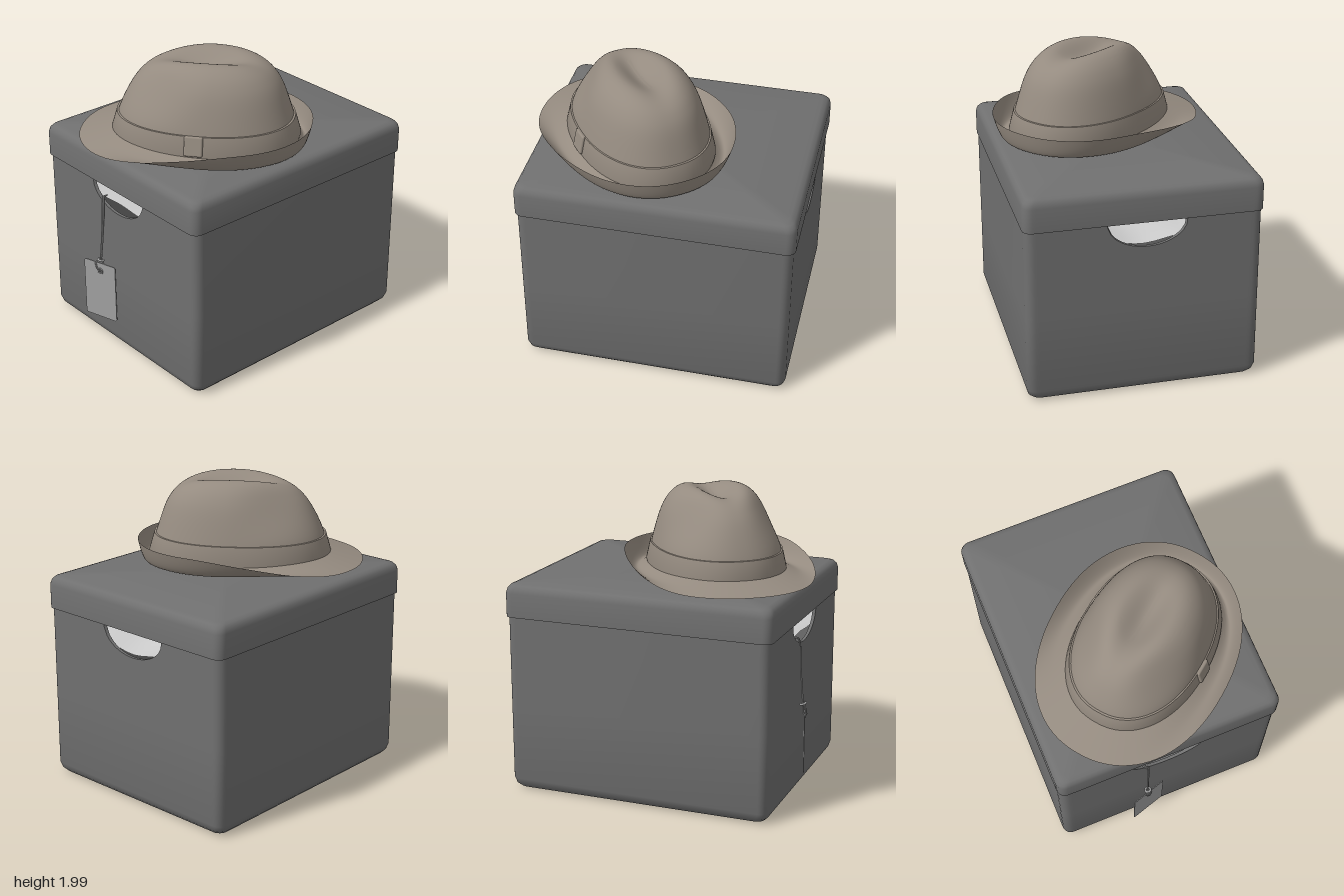
import * as THREE from 'three';
import { toCreasedNormals } from 'three/addons/utils/BufferGeometryUtils.js';
import { RoundedBoxGeometry } from 'three/addons/geometries/RoundedBoxGeometry.js';

const mat = (color) => new THREE.MeshStandardMaterial({ color, side: THREE.DoubleSide });
const boxMat = mat(0x707070);
const hatMat = mat(0x958b80);
const tagMat = mat(0xa0a0a0);
const paperMat = mat(0xdddddd);

function addMesh(parent, name, geometry, material) {
  const m = new THREE.Mesh(geometry, material);
  m.name = name;
  parent.add(m);
  return m;
}

// Skin over closed rings of [x, y, z] points
function skin(rings, crease = 0.7) {
  const n = rings[0].length;
  const index = [];
  for (let i = 0; i < rings.length - 1; i++) {
    for (let j = 0; j < n; j++) {
      const k = (j + 1) % n;
      const a = i * n + j, b = a + n, c = i * n + k, d = c + n;
      index.push(a, b, c, b, d, c);
    }
  }
  const g = new THREE.BufferGeometry();
  g.setAttribute('position', new THREE.Float32BufferAttribute(rings.flat(2), 3));
  g.setIndex(index);
  return toCreasedNormals(g, crease);
}

// Rounded rectangle in plan, running from +x towards +z
function plan(hx, hz, r) {
  const pts = [];
  const corners = [[1, 1], [-1, 1], [-1, -1], [1, -1]];
  corners.forEach(([sx, sz], q) => {
    for (let i = 0; i <= 6; i++) {
      const t = (q + i / 6) * Math.PI / 2;
      pts.push([sx * (hx - r) + r * Math.cos(t), sz * (hz - r) + r * Math.sin(t)]);
    }
    if (q % 2 === 0) { // fine steps along the two short walls
      for (let i = 1; i < 64; i++) pts.push([sx * (hx - r) * (1 - i / 32), sz * hz]);
    }
  });
  return pts;
}

// Profile of [inset, y]; inset null closes at the centre
function boxSkin(hx, hz, r, profile, rim = () => Infinity) {
  const base = plan(hx, hz, r);
  return skin(profile.map(([d, y]) => base.map(([x, z]) => {
    const kx = d === null ? 0 : (hx - d) / hx;
    const kz = d === null ? 0 : (hz - d) / hz;
    return [x * kx, Math.min(y, rim(x)), z * kz];
  })));
}

function makeBox() {
  const box = new THREE.Group();
  box.name = 'storageBox';
  box.position.z = -0.035;

  // Half-moon hand holes in front and back walls, closed above by the lid
  const rim = (x) => {
    const k = (x + 0.015) / 0.26;
    return Math.abs(k) < 1 ? 1.2 - 0.17 * Math.sqrt(1 - k * k) : 1.36;
  };
  addMesh(box, 'boxBody', boxSkin(0.765, 0.9, 0.06, [
    [null, 0.005], [0.07, 0.005], [0.035, 0.015], [0.012, 0.04], [0, 0.08], [0, 0.6], [0, 9],
    [0.02, 9], [0.02, 0.6], [0.02, 0.04], [null, 0.04],
  ], rim), boxMat);

  addMesh(box, 'lid', boxSkin(0.773, 0.915, 0.06, [
    [0.009, 1.36], [0.009, 1.2], [0, 1.2], [0, 1.36], [0.008, 1.39], [0.025, 1.41],
    [0.055, 1.42], [null, 1.422],
  ]), boxMat);
  addMesh(box, 'lidUnderside', new THREE.BoxGeometry(1.5, 0.02, 1.76), boxMat).position.y = 1.37;

  // Sagging, gently crumpled paper filling the box
  const paper = new THREE.PlaneGeometry(1.48, 1.74, 24, 24).rotateX(-Math.PI / 2);
  const p = paper.attributes.position;
  for (let i = 0; i < p.count; i++) {
    const x = p.getX(i), z = p.getZ(i);
    p.setY(i, 1.1 + 0.3 * x * x * (1 - 0.4 * x * x) - 0.05 * z * z
      + 0.015 * Math.sin(9 * z + 4 * x) + 0.01 * Math.sin(13 * x - 5 * z));
  }
  paper.computeVertexNormals();
  addMesh(box, 'paperFilling', paper, paperMat);
  return box;
}

// Superellipse point
function oval(t, a, b, power = 2.2) {
  const f = (c) => Math.sign(c) * Math.abs(c) ** (2 / power);
  return [a * f(Math.cos(t)), b * f(Math.sin(t))];
}

function makeHat() {
  const hat = new THREE.Group();
  hat.name = 'hat';
  hat.position.set(0.035, 0, 0.245);
  hat.rotation.y = 0.66;
  const N = 96;
  const A = 0.61, B = 0.435, SHIFT = 0.07;
  const ring = (fn) => Array.from({ length: N }, (_, j) => fn(j / N * 2 * Math.PI));
  const { smoothstep, lerp } = THREE.MathUtils;

  // Crown with a teardrop dent on top and a pinched front
  const curve = new THREE.SplineCurve([
    [1, 1.46], [0.93, 1.62], [0.81, 1.8], [0.7, 1.9], [0.57, 1.965], [0.42, 2.002], [0.25, 2.015], [0, 2.02],
  ].map(([s, y]) => new THREE.Vector2(s, y)));
  const crownRings = curve.getPoints(48).map(({ x: s, y }) => ring((t) => {
    const [u0, v0] = oval(t, A * s, B * s);
    const high = smoothstep(y, 1.6, 1.95);
    const v = v0 * (1 - 0.25 * high * smoothstep(-u0, -0.05, 0.4));
    const du = (u0 + 0.02) / 0.3;
    const dent = 0.095 * Math.exp(-du * du - (v / 0.11) ** 2);
    return [u0 + SHIFT + 0.02 * high, y - dent, v];
  }));
  addMesh(hat, 'crown', skin(crownRings, 1), hatMat);

  // Ribbon round the crown
  const ribbon = [[1.005, 1.46], [1.015, 1.485], [0.955, 1.61], [0.92, 1.612]].map(([s, y]) => ring((t) => {
    const [u, v] = oval(t, A * s, B * s);
    return [u + SHIFT, y, v];
  }));
  addMesh(hat, 'ribbonBand', skin(ribbon, 0.6), hatMat);
  const bow = addMesh(hat, 'ribbonBow', new RoundedBoxGeometry(0.12, 0.13, 0.03, 3, 0.012), hatMat);
  bow.position.set(0.075, 1.55, 0.428);
  bow.rotation.x = -0.22;

  // Brim: flat at the front, curled up round the sides and back
  const brimRings = [];
  for (let i = 16; i >= 0; i--) {
    const r = i / 16;
    brimRings.push(ring((t) => {
      const [ui, vi] = oval(t, A, B);
      const [uo, vo] = oval(t, 0.765, 0.61, 2.15);
      const front = lerp(1.495, 1.436, r);
      const dip = 1.475 - 0.043 * Math.sin(Math.min(r / 0.45, 1) * Math.PI / 2);
      const curled = dip + 0.135 * Math.max(0, (r - 0.45) / 0.55) ** 1.7;
      const y = lerp(front, curled, smoothstep(Math.cos(t), -0.85, 0.5));
      return [lerp(ui + SHIFT, uo, r), y, lerp(vi, vo, r)];
    }));
  }
  addMesh(hat, 'brim', skin(brimRings, 1), hatMat);
  return hat;
}

function makeTag() {
  const tag = new THREE.Group();
  tag.name = 'hangTag';

  // Card turned slightly away from the wall
  const card = new THREE.Group();
  card.name = 'tagCard';
  card.position.set(-0.16, 0, 0.92);
  card.rotation.y = 0.29;
  tag.add(card);
  const w = 0.125, y0 = 0.205, y1 = 0.625, c = 0.01;
  const outline = [[-w + c, y0], [w - c, y0], [w, y0 + c], [w, y1 - c], [w - c, y1], [-w + c, y1], [-w, y1 - c], [-w, y0 + c]];
  const shape = new THREE.Shape(outline.map(([x, y]) => new THREE.Vector2(x, y)));
  shape.holes.push(new THREE.Path().absarc(0.005, 0.565, 0.014, 0, Math.PI * 2, true));
  addMesh(card, 'tagPlate', new THREE.ExtrudeGeometry(shape, { depth: 0.006, bevelEnabled: false }), tagMat);
  const eyelet = addMesh(card, 'eyelet', new THREE.TorusGeometry(0.018, 0.005, 8, 20), tagMat);
  eyelet.position.set(0.005, 0.565, 0.006);

  // String looped over the hand hole, knotted above the card
  const string = (name, pts, closed = false) => {
    const path = new THREE.CatmullRomCurve3(pts.map((q) => new THREE.Vector3(...q)), closed);
    addMesh(tag, name, new THREE.TubeGeometry(path, 40, 0.005, 6, closed), tagMat);
  };
  string('stringFront', [[-0.19, 1.085, 0.82], [-0.18, 1.09, 0.86], [-0.163, 1.07, 0.876], [-0.16, 0.85, 0.893], [-0.163, 0.64, 0.912]]);
  string('stringBack', [[-0.19, 1.085, 0.82], [-0.17, 1.09, 0.86], [-0.152, 1.07, 0.874], [-0.152, 0.85, 0.889], [-0.16, 0.64, 0.908]]);
  string('stringLoop', [[-0.165, 0.645, 0.918], [-0.185, 0.62, 0.935], [-0.155, 0.565, 0.932], [-0.15, 0.575, 0.908], [-0.14, 0.62, 0.905]], true);
  const knot = addMesh(tag, 'knot', new THREE.TorusGeometry(0.018, 0.008, 8, 16), tagMat);
  knot.position.set(-0.162, 0.642, 0.912);
  knot.rotation.x = 1.2;
  return tag;
}

export function createModel() {
  const model = new THREE.Group();
  model.name = 'boxWithHat';
  model.add(makeBox(), makeHat(), makeTag());
  return model;
}
